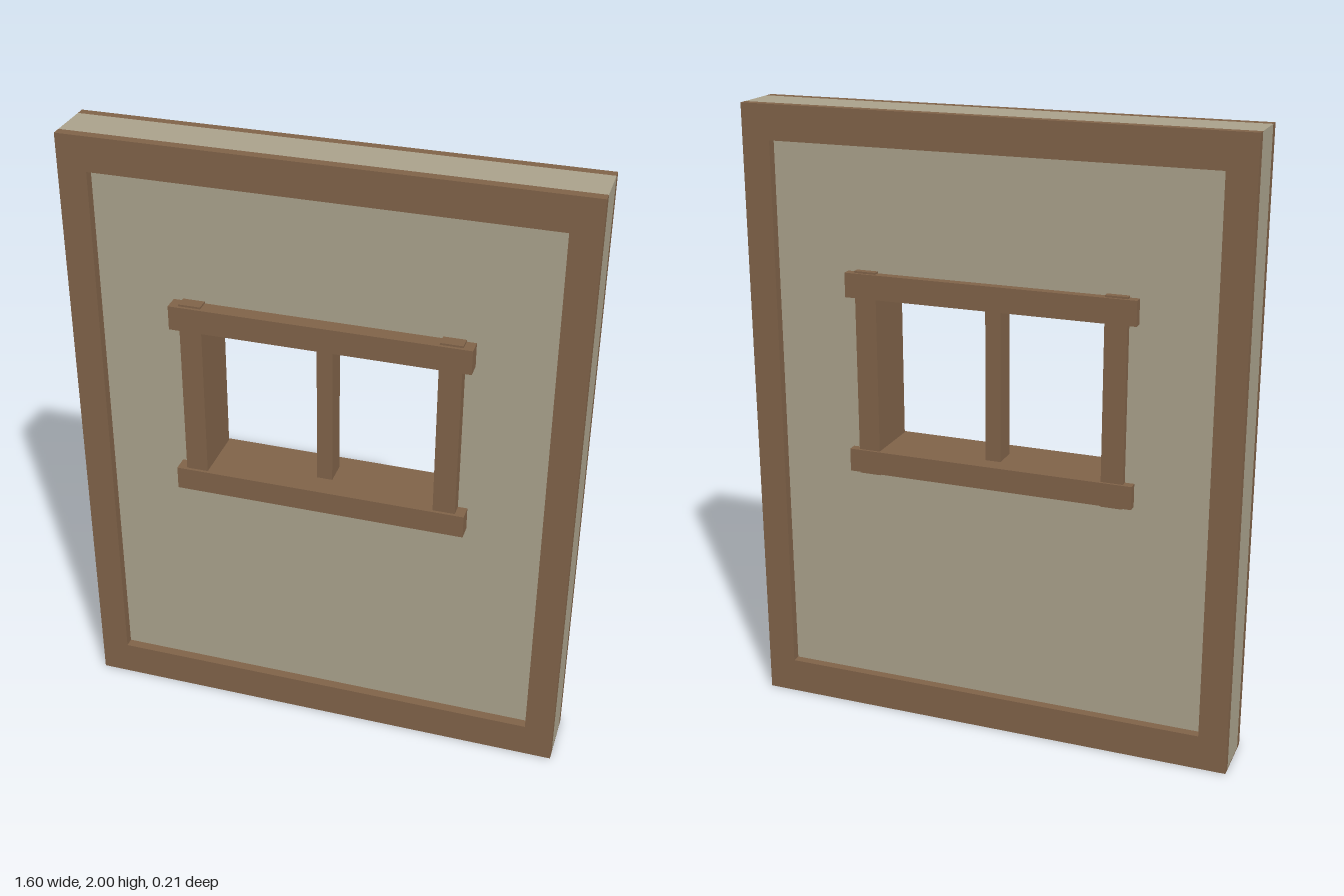
import * as THREE from 'three';

export function createModel() {
  const model = new THREE.Group();
  model.name = 'windowWall';
  const wood = new THREE.MeshStandardMaterial({ color: 0x7f6248 });
  wood.name = 'brown wood';
  const plaster = new THREE.MeshStandardMaterial({ color: 0xa9a18b });
  plaster.name = 'beige plaster';

  function add(name, geometry, material) {
    const mesh = new THREE.Mesh(geometry, material);
    mesh.name = name;
    model.add(mesh);
  }

  // Box given by its limits on each axis
  function box(name, [x0, x1], [y0, y1], [z0, z1], material = wood) {
    const g = new THREE.BoxGeometry(x1 - x0, y1 - y0, z1 - z0);
    g.translate((x0 + x1) / 2, (y0 + y1) / 2, (z0 + z1) / 2);
    add(name, g, material);
  }

  // Rectangular slab with a rectangular opening
  function ring(name, [x, y0, y1], [hx, hy0, hy1], [z0, z1], material) {
    const rect = (C, w, a, b) => new C([
      new THREE.Vector2(-w, a), new THREE.Vector2(w, a),
      new THREE.Vector2(w, b), new THREE.Vector2(-w, b),
    ]);
    const shape = rect(THREE.Shape, x, y0, y1);
    shape.holes.push(rect(THREE.Path, hx, hy0, hy1));
    const g = new THREE.ExtrudeGeometry(shape, { depth: z1 - z0, bevelEnabled: false });
    g.translate(0, 0, z0);
    add(name, g, material);
  }

  // Plaster wall with window opening, on a thin wooden base
  ring('wall', [0.8, 0.004, 2], [0.4, 0.88, 1.46], [-0.078, 0.056], plaster);
  box('basePlate', [-0.8, 0.8], [0, 0.004], [-0.078, 0.056]);

  // Border frames on both faces
  const outer = [0.8, 0, 2], inner = [0.708, 0.115, 1.89];
  ring('frontBorder', outer, inner, [0.056, 0.087], wood);
  ring('backBorder', outer, inner, [-0.107, -0.078], wood);

  // Window rails running through the wall
  box('lowerRail', [-0.468, 0.468], [0.845, 0.92], [-0.107, 0.107]);
  box('upperRail', [-0.468, 0.468], [1.42, 1.498], [-0.107, 0.107]);

  // Window posts, their ends just proud of the rails
  box('rightPost', [-0.438, -0.368], [0.839, 1.504], [-0.099, 0.097]);
  box('leftPost', [0.368, 0.438], [0.839, 1.504], [-0.099, 0.097]);

  // Centre bar
  box('centreBar', [-0.025, 0.025], [0.92, 1.42], [-0.05, 0.028]);

  return model;
}
